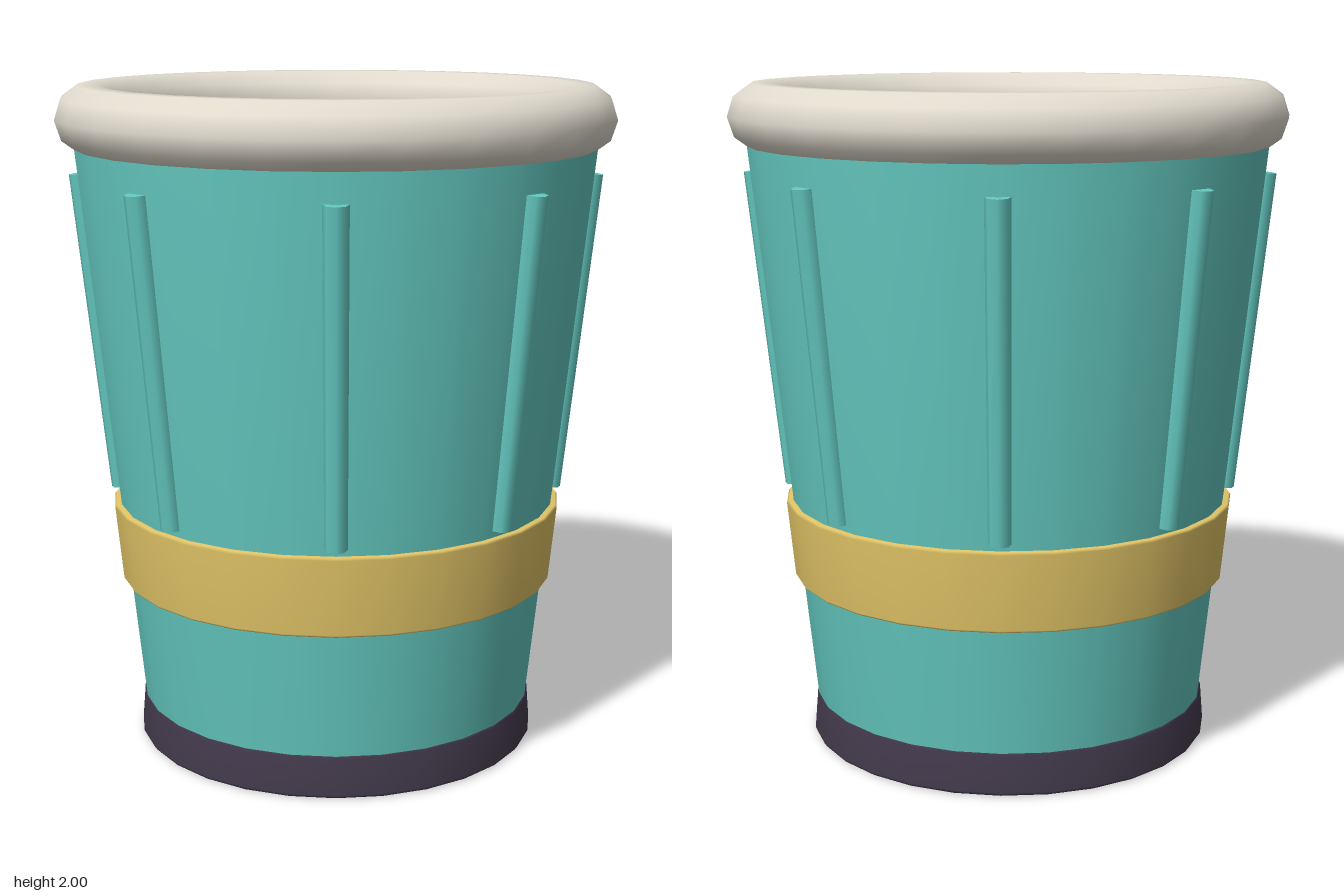
import * as THREE from 'three';

const SIDES = 28;

const mat = (name, color) => {
  const m = new THREE.MeshStandardMaterial({ color });
  m.name = name;
  return m;
};

// Softly shaded turned part from [radius, height] pairs
function turned(name, profile, material) {
  const points = profile.map(([r, y]) => new THREE.Vector2(r, y));
  const mesh = new THREE.Mesh(new THREE.LatheGeometry(points, SIDES), material);
  mesh.name = name;
  return mesh;
}

export function createModel() {
  const teal = mat('teal', 0x64c8c0);
  const gold = mat('gold', 0xe2c567);
  const dark = mat('dark plum', 0x433a4c);
  const cream = mat('cream', 0xe2dccf);

  const cup = new THREE.Group();
  cup.name = 'cup';

  // Tapered outer wall, base, raised band and inner lining
  cup.add(
    turned('outerWall', [[0.56, 0.1], [0.599, 0.1], [0.779, 1.86], [0.72, 1.86]], teal),
    turned('base', [[0, 0], [0.6, 0], [0.608, 0.002], [0.615, 0.012], [0.606, 0.122], [0.6, 0.13], [0.56, 0.13]], dark),
    turned('band', [[0.635, 0.51], [0.657, 0.51], [0.664, 0.517], [0.686, 0.743], [0.681, 0.75], [0.655, 0.75]], gold),
    turned('innerWall', [[0.633, 1.91], [0.56, 0.2]], dark),
    turned('innerFloor', [[0.562, 0.192], [0.56, 0.2], [0, 0.2]], gold),
  );

  // Rolled rim
  const rim = new THREE.Mesh(new THREE.TorusGeometry(0.73, 0.1, 10, SIDES).rotateX(Math.PI / 2), cream);
  rim.name = 'rim';
  rim.position.y = 1.905;
  cup.add(rim);

  // Eight ribs leaning with the wall
  const low = new THREE.Vector3(0, 0.77, 0.663);
  const high = new THREE.Vector3(0, 1.735, 0.762);
  const span = high.clone().sub(low);
  const ribGeometry = new THREE.CylinderGeometry(0.036, 0.033, span.length(), 8);
  ribGeometry.rotateX(Math.atan2(span.z, span.y));
  ribGeometry.translate(0, (low.y + high.y) / 2, (low.z + high.z) / 2);
  for (let i = 0; i < 8; i++) {
    const rib = new THREE.Mesh(ribGeometry, teal);
    rib.name = `rib${i + 1}`;
    rib.rotation.y = (i * Math.PI) / 4;
    cup.add(rib);
  }

  return cup;
}
